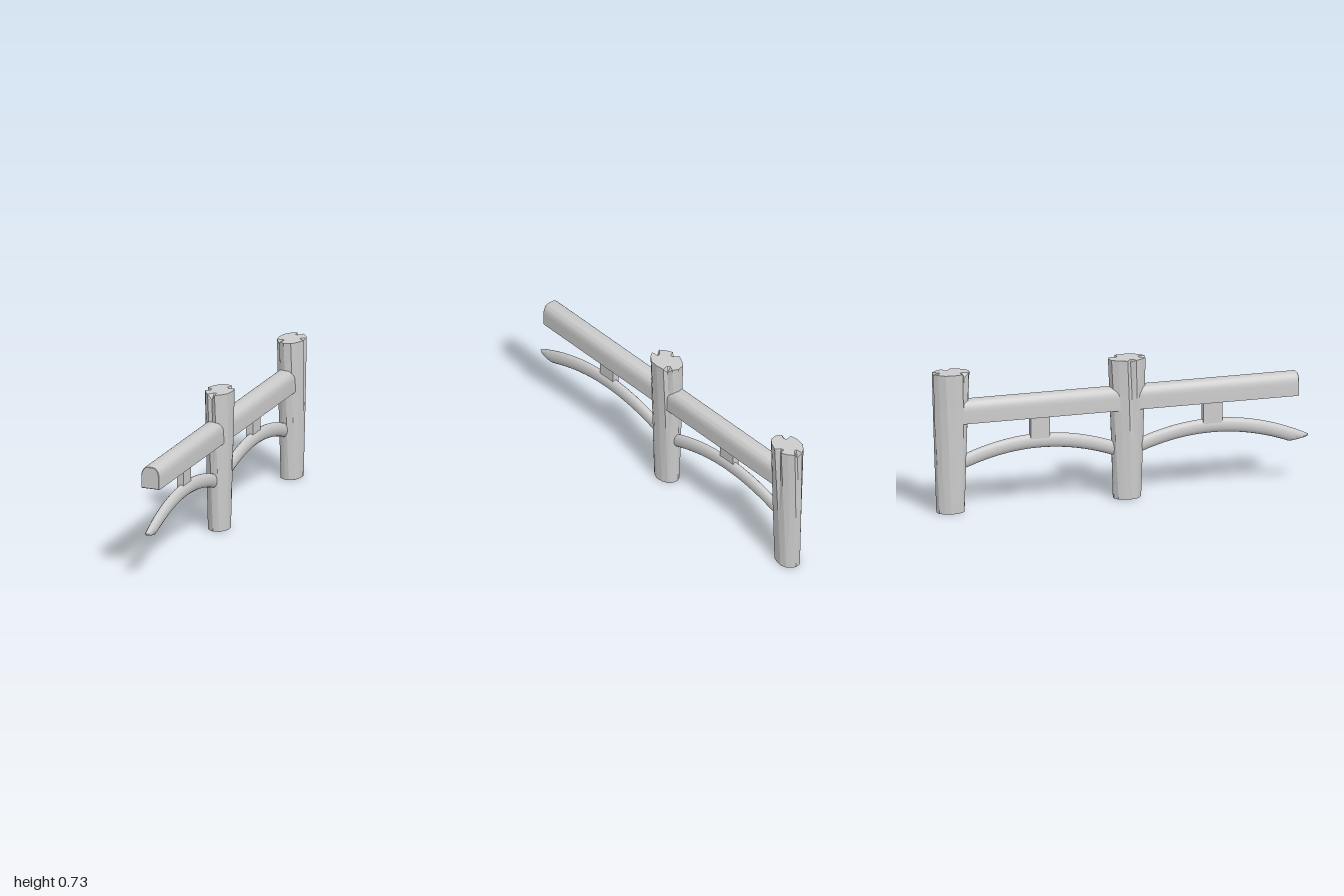
import * as THREE from 'three';
import { toCreasedNormals } from 'three/addons/utils/BufferGeometryUtils.js';

// Skin a list of rings (equal-length arrays of [x, y, z]) and close both ends.
function loft(rings) {
  const n = rings[0].length, pos = [], idx = [];
  rings.forEach(r => r.forEach(p => pos.push(...p)));
  for (let i = 0; i < rings.length - 1; i++) {
    for (let j = 0; j < n; j++) {
      const k = (j + 1) % n, a = i * n + j, b = i * n + k;
      idx.push(a, a + n, b, b, a + n, b + n);
    }
  }
  const cap = (ring, start, flip) => {
    const c = pos.length / 3;
    pos.push(...[0, 1, 2].map(d => ring.reduce((s, p) => s + p[d], 0) / n));
    for (let j = 0; j < n; j++) {
      const k = (j + 1) % n;
      idx.push(c, start + (flip ? j : k), start + (flip ? k : j));
    }
  };
  cap(rings[0], 0, true);
  cap(rings[rings.length - 1], (rings.length - 1) * n, false);
  const g = new THREE.BufferGeometry();
  g.setAttribute('position', new THREE.Float32BufferAttribute(pos, 3));
  g.setIndex(idx);
  return g;
}

function mesh(name, geometry, material) {
  const m = new THREE.Mesh(geometry, material);
  m.name = name;
  return m;
}

const HEIGHT = 0.73;

// Outline corners: angle in degrees, radius factor, crack depth, rim notch depth
const OUTLINE = [
  [0, 0.98, 0, 0], [28, 1, 0, 0], [55, 0.96, 0, 0], [80, 1, 0, 0],
  [97, 0.97, 0.12, 0.03], [114, 0.99, 0, 0], [140, 0.96, 0, 0], [163, 1, 0, 0],
  [177, 0.98, 0.28, 0.012], [190, 1, 0, 0], [220, 0.95, 0, 0], [245, 1, 0, 0],
  [275, 0.98, 0, 0], [300, 0.96, 0, 0], [318, 0.98, 0.15, 0.025], [333, 1, 0, 0],
];

// Hewn, twisted trunk, wider at the top, with a cracked and chipped rim
function postGeometry() {
  const ring = (t, inset = 1) => OUTLINE.map(([deg, r, crack, notch]) => {
    const a = THREE.MathUtils.degToRad(deg) - 0.3 * (1 - t);
    const open = Math.max(0, (t - 0.45) / 0.55);
    const s = inset < 1 ? inset : r * (1 - crack * open);
    const y = HEIGHT * t - (t === 1 && inset === 1 ? notch : 0);
    return [
      Math.cos(a) * s * THREE.MathUtils.lerp(0.056, 0.071, t), y,
      Math.sin(a) * s * THREE.MathUtils.lerp(0.075, 0.1, t),
    ];
  });
  return loft([ring(0), ring(0.45), ring(0.75), ring(1), ring(1, 0.6)]).toNonIndexed();
}

// Handrail with straight sides and a domed top
function railGeometry(length) {
  const w = 0.046, b = 0.004, s = new THREE.Shape();
  s.moveTo(-w, b);
  s.lineTo(w, b);
  s.lineTo(w, 0.06);
  s.bezierCurveTo(w, 0.095, 0.03, 0.113, 0.012, 0.113);
  s.lineTo(-0.012, 0.113);
  s.bezierCurveTo(-0.03, 0.113, -w, 0.095, -w, 0.06);
  s.closePath();
  const g = new THREE.ExtrudeGeometry(s, {
    depth: length - 0.02, curveSegments: 8,
    bevelThickness: 0.01, bevelSize: b, bevelSegments: 2,
  });
  g.translate(0, 0, 0.01 - length / 2);
  return toCreasedNormals(g, 0.6);
}

// Arched brace of oval section, its ends cut on a slant
function braceGeometry() {
  const half = 0.46, steps = 28, sides = 16;
  const ring = (u, scale) => Array.from({ length: sides }, (_, j) => {
    const a = (j / sides) * Math.PI * 2, v = -Math.sin(a) * scale;
    const z = u * half + 0.052 * v * Math.sign(u) * Math.pow(Math.abs(u), 4);
    return [
      Math.cos(a) * scale * 0.023 * (1 - 0.2 * Math.pow(u, 8)),
      0.337 - 0.48 * z * z + v * 0.0375, z,
    ];
  });
  const rings = [ring(-1.02, 0.7)];
  for (let i = 0; i <= steps; i++) rings.push(ring((i / steps) * 2 - 1, 1));
  rings.push(ring(1.02, 0.7));
  return toCreasedNormals(loft(rings), 0.8);
}

export function createModel() {
  const root = new THREE.Group();
  root.name = 'fence';
  const smooth = new THREE.MeshStandardMaterial({ color: 0xcccccc });
  const faceted = new THREE.MeshStandardMaterial({ color: 0xcccccc, flatShading: true });

  // Posts, the rear one turned half round
  const postShape = postGeometry();
  [['middlePost', -0.007, 0.034, 0], ['rearPost', 0.003, -0.897, Math.PI]].forEach(([name, x, z, turn]) => {
    const post = mesh(name, postShape, faceted);
    post.position.set(x, 0, z);
    post.rotation.y = turn;
    root.add(post);
  });

  // Two equal bays: rail, spacer block and arched brace
  const railShape = railGeometry(0.88);
  const braceShape = braceGeometry();
  const blockShape = new THREE.BoxGeometry(0.036, 0.125, 0.1);
  [['front', 0.483, -0.013], ['rear', -0.432, -0.006]].forEach(([side, z, x]) => {
    const bay = new THREE.Group();
    bay.name = side + 'Bay';
    const rail = mesh(side + 'Rail', railShape, smooth);
    rail.position.set(x, 0.467, z + 0.008);
    rail.rotation.y = -0.007;
    const block = mesh(side + 'SpacerBlock', blockShape, faceted);
    block.position.set(-0.016, 0.415, z);
    const brace = mesh(side + 'Brace', braceShape, smooth);
    brace.position.set(-0.01, 0, z);
    bay.add(rail, block, brace);
    root.add(bay);
  });

  return root;
}
